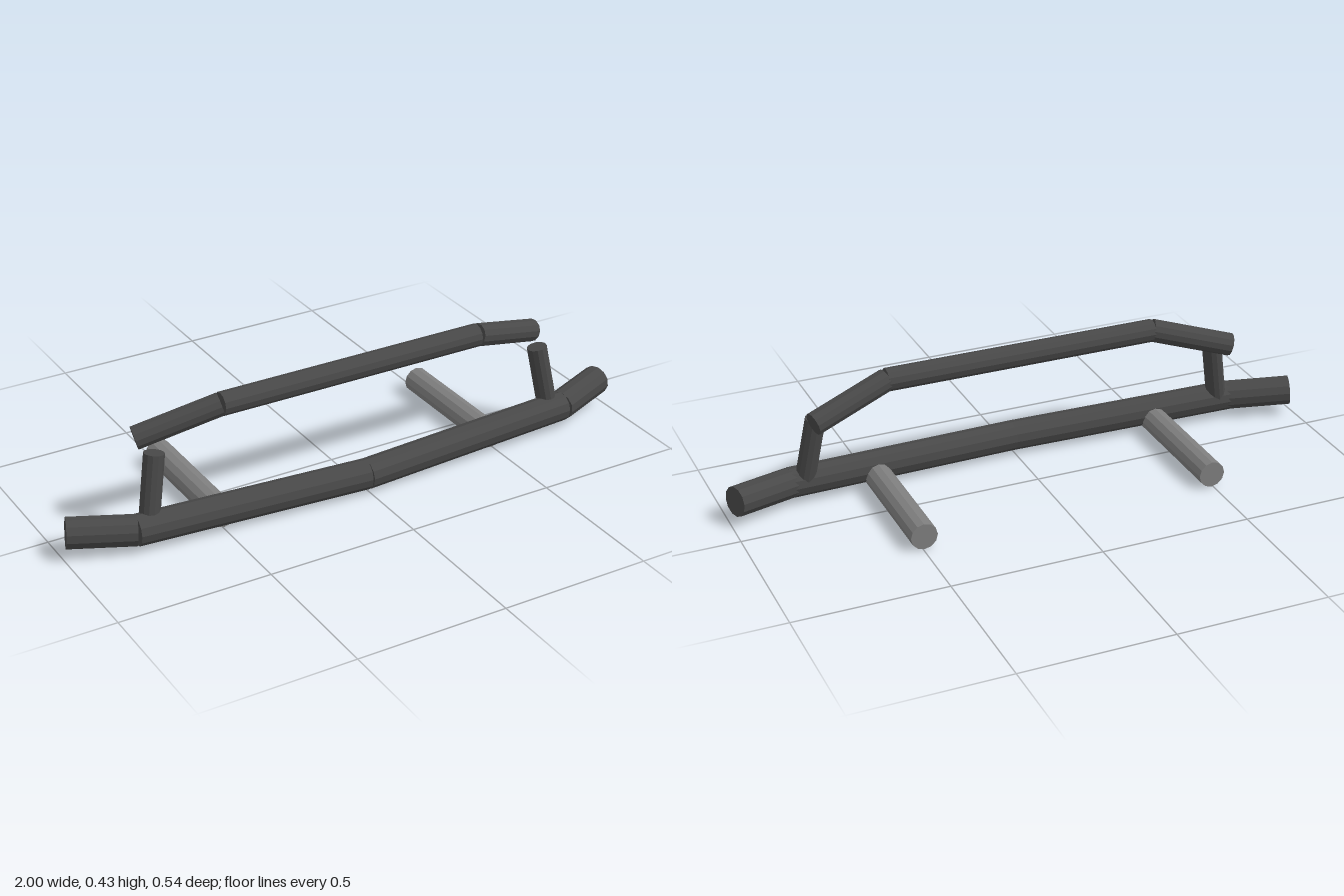
import * as THREE from 'three';

const darkSteel = new THREE.MeshStandardMaterial({ color: 0x484848, flatShading: true });
darkSteel.name = 'dark steel';
const lightSteel = new THREE.MeshStandardMaterial({ color: 0x7e7e7e, flatShading: true });
lightSteel.name = 'light steel';

// Straight capped twelve-sided tube between two points
function tube(name, from, to, radius, material) {
  const a = new THREE.Vector3(...from);
  const b = new THREE.Vector3(...to);
  const dir = b.clone().sub(a);
  const mesh = new THREE.Mesh(new THREE.CylinderGeometry(radius, radius, dir.length(), 12), material);
  mesh.position.copy(a).add(b).multiplyScalar(0.5);
  mesh.quaternion.setFromUnitVectors(new THREE.Vector3(0, 1, 0), dir.normalize());
  mesh.name = name;
  return mesh;
}

export function createModel() {
  const model = new THREE.Group();
  model.name = 'tubularBumper';

  // Straight middle of the upper hoop
  model.add(tube('upperBar', [-0.465, 0.393, 0.13], [0.465, 0.393, 0.13], 0.038, darkSteel));

  for (const [side, s] of [['left', 1], ['right', -1]]) {
    // Lower bar: long swept half and short end bent backwards
    model.add(tube(side + 'LowerBar', [0, 0.057, 0.218], [s * 0.785, 0.07, 0.177], 0.05, darkSteel));
    model.add(tube(side + 'LowerEnd', [s * 0.782, 0.07, 0.177], [s * 0.983, 0.083, 0.104], 0.05, darkSteel));
    // Upper hoop: end bent down and back
    model.add(tube(side + 'UpperEnd', [s * 0.465, 0.393, 0.13], [s * 0.727, 0.319, 0.068], 0.038, darkSteel));
    // Upright post
    model.add(tube(side + 'Post', [s * 0.737, 0.07, 0.167], [s * 0.698, 0.297, 0.143], 0.033, darkSteel));
    // Mounting rail running backwards
    model.add(tube(side + 'MountRail', [s * 0.495, 0.044, 0.193], [s * 0.495, 0.044, -0.268], 0.044, lightSteel));
  }
  return model;
}
